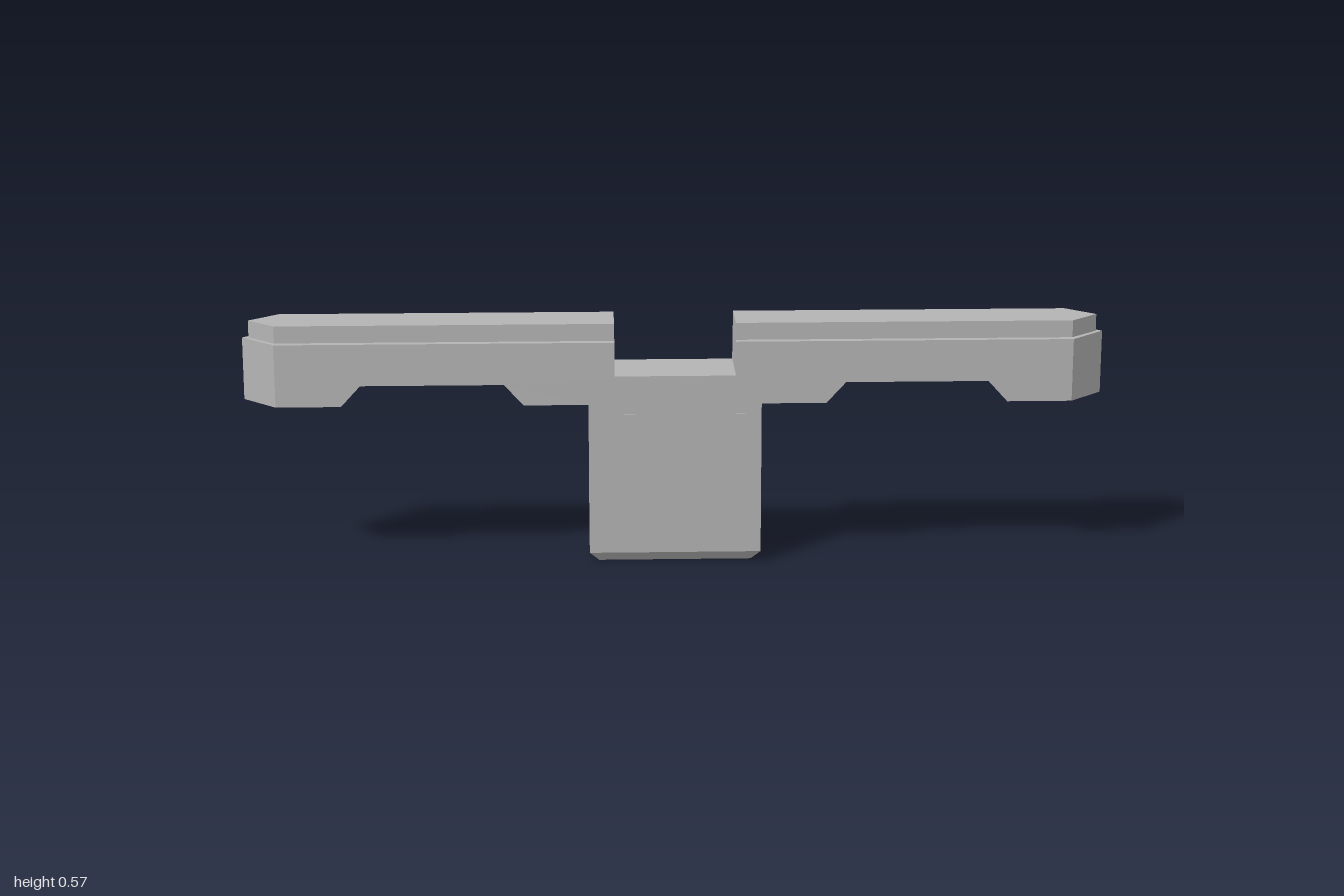
import * as THREE from 'three';

const DEPTH = 0.082;      // half thickness of the body
const SHOULDER = 0.92;    // where the pointed ends begin

// Extrude a front silhouette and pinch its outer ends to a vertical edge at z = 0
function pointedSlab(points, half) {
  const shape = new THREE.Shape(points.map(([x, y]) => new THREE.Vector2(x, y)));
  const geo = new THREE.ExtrudeGeometry(shape, { depth: 2 * half, steps: 2, bevelEnabled: false });
  geo.translate(0, 0, -half);
  const p = geo.attributes.position;
  for (let i = 0; i < p.count; i++) {
    const x = p.getX(i);
    if (Math.abs(x) > SHOULDER && Math.abs(p.getZ(i)) > half / 2) p.setX(i, Math.sign(x) * SHOULDER);
  }
  geo.computeVertexNormals();
  return geo;
}

export function createModel() {
  const group = new THREE.Group();
  group.name = 'barrier';
  const grey = new THREE.MeshStandardMaterial({ color: 0xb4b4b4 });
  grey.name = 'grey';

  const add = (name, geo, x = 0, y = 0, z = 0) => {
    const mesh = new THREE.Mesh(geo, grey);
    mesh.name = name;
    mesh.position.set(x, y, z);
    group.add(mesh);
  };

  // Body: central block with two arms, notched on top and relieved underneath
  const half = [
    [0.2, 0.025], [0.2, 0.383], [0.35, 0.383], [0.395, 0.432], [0.725, 0.432],
    [0.77, 0.383], [1, 0.383], [1, 0.53], [0.14, 0.53], [0.14, 0.45],
  ];
  const mirrored = half.map(([x, y]) => [-x, y]).reverse();
  add('body', pointedSlab([...half, ...mirrored], DEPTH));

  // Chamfered foot under the central block
  const foot = new THREE.BoxGeometry(0.4, 0.025, 2 * DEPTH).toNonIndexed();
  const fp = foot.attributes.position;
  for (let i = 0; i < fp.count; i++) {
    if (fp.getY(i) < 0) {
      fp.setX(i, Math.sign(fp.getX(i)) * 0.178);
      fp.setZ(i, Math.sign(fp.getZ(i)) * 0.058);
    }
  }
  foot.computeVertexNormals();
  add('foot', foot, 0, 0.0125, 0);

  for (const s of [1, -1]) {
    const side = s > 0 ? 'left' : 'right';

    // Narrower rail along the top of each arm
    const rail = [[0.14, 0.53], [0.985, 0.53], [0.985, 0.57], [0.14, 0.57]].map(([x, y]) => [s * x, y]);
    add(side + 'TopRail', pointedSlab(rail, 0.063));

    // Thin raised strips on the front and back of the central block
    for (const f of [1, -1]) {
      add(side + (f > 0 ? 'FrontStrip' : 'BackStrip'),
        new THREE.BoxGeometry(0.07, 0.31, 0.004), s * 0.127, 0.205, f * (DEPTH - 0.0005));
    }
  }
  return group;
}
